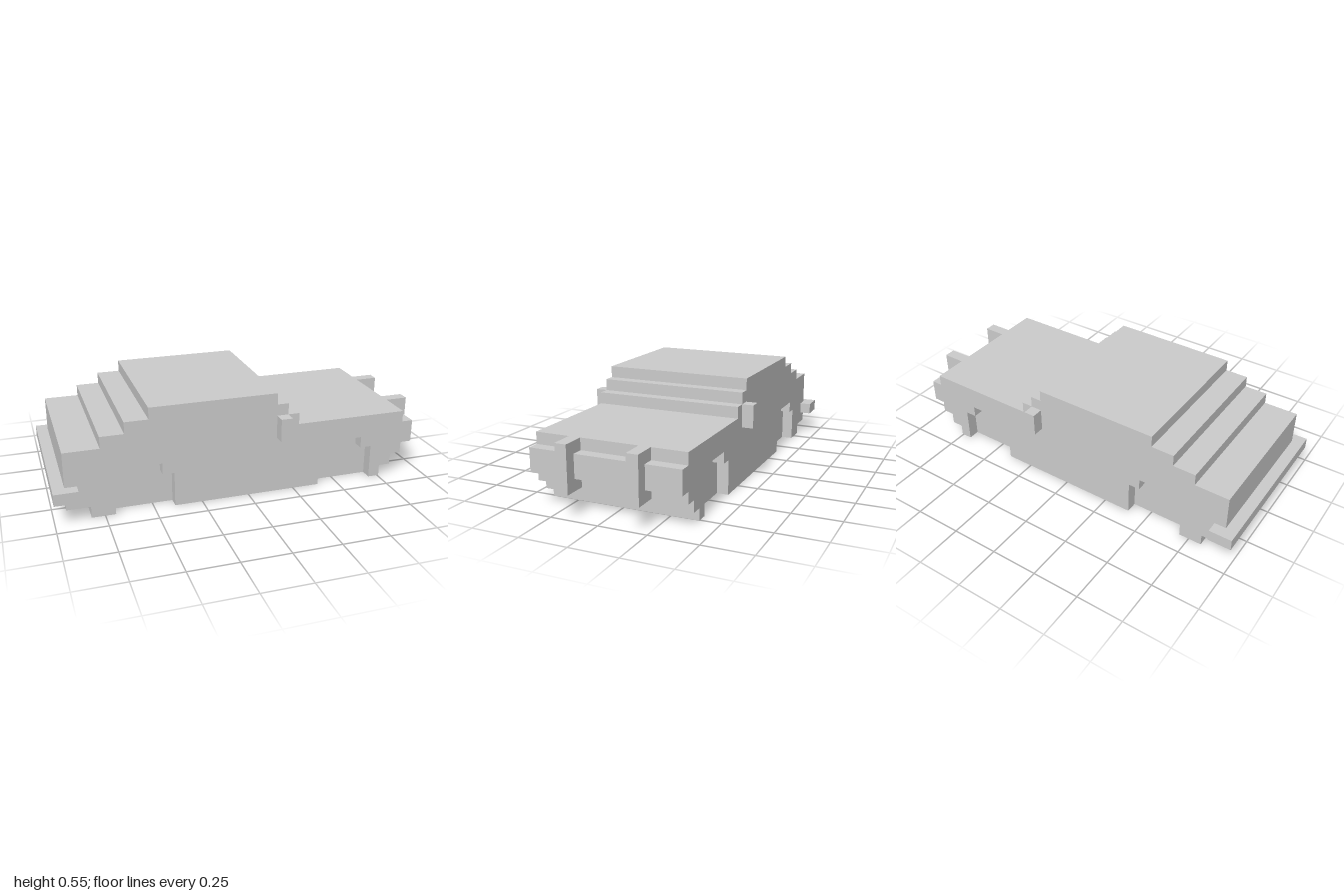
import * as THREE from 'three';

// One block of the model; lengths below are in blocks, x counted from the tail
const U = 2 / 33;
const material = new THREE.MeshStandardMaterial({ color: 0xcccccc, flatShading: true });

function slab(name, points, z0, z1) {
  const shape = new THREE.Shape(points.map(([x, y]) => new THREE.Vector2(x * U - 1, y * U)));
  const geometry = new THREE.ExtrudeGeometry(shape, { depth: (z1 - z0) * U, bevelEnabled: false });
  geometry.translate(0, 0, z0 * U);
  const mesh = new THREE.Mesh(geometry, material);
  mesh.name = name;
  return mesh;
}

function block(name, [x0, x1], [y0, y1], [z0, z1]) {
  const geometry = new THREE.BoxGeometry((x1 - x0) * U, (y1 - y0) * U, (z1 - z0) * U);
  geometry.translate(((x0 + x1) / 2) * U - 1, ((y0 + y1) / 2) * U, ((z0 + z1) / 2) * U);
  const mesh = new THREE.Mesh(geometry, material);
  mesh.name = name;
  return mesh;
}

// Stepped wheel arch cut into the sill, starting at x
const arch = (x) => [
  [x, 0], [x, 3], [x + 1, 3], [x + 1, 4], [x + 4, 4], [x + 4, 3], [x + 5, 3], [x + 5, 0],
];

// Stepped outline from nose to tail, after the sill
const outline = [
  [29, 0], [29, 1], [30, 1], [30, 2], [31, 2], [31, 3], [32, 3], [32, 5], [31, 5], [31, 6],
  [21, 6], [21, 7], [20, 7], [20, 8], [19, 8], [19, 9],
  [8, 9], [8, 8], [6, 8], [6, 7], [4, 7], [4, 6], [1, 6], [1, 1], [3, 1],
];

export function createModel() {
  const car = new THREE.Group();
  car.name = 'car';

  // Solid core between the wheel wells
  car.add(slab('bodyCore', [[3, 0], ...outline], -5.5, 5.5));

  // Side panels with wheel arches
  const panel = [[3, 0], ...arch(5), ...arch(23), ...outline];
  car.add(slab('leftSidePanel', panel, -6.5, -5.5));
  car.add(slab('rightSidePanel', panel, 5.5, 6.5));

  // Rear bumper, wider than the body
  car.add(block('rearBumper', [0, 2], [2, 3], [-7.5, 7.5]));

  // Paired mirrors and front guard posts
  for (const [side, s] of [['left', -1], ['right', 1]]) {
    const span = (a, b) => (s > 0 ? [a, b] : [-b, -a]);
    car.add(block(side + 'Mirror', [19, 20], [5, 7], span(6.5, 7.5)));
    car.add(block(side + 'GuardPost', [31, 33], [2, 6], span(2.5, 3.5)));
  }
  return car;
}
